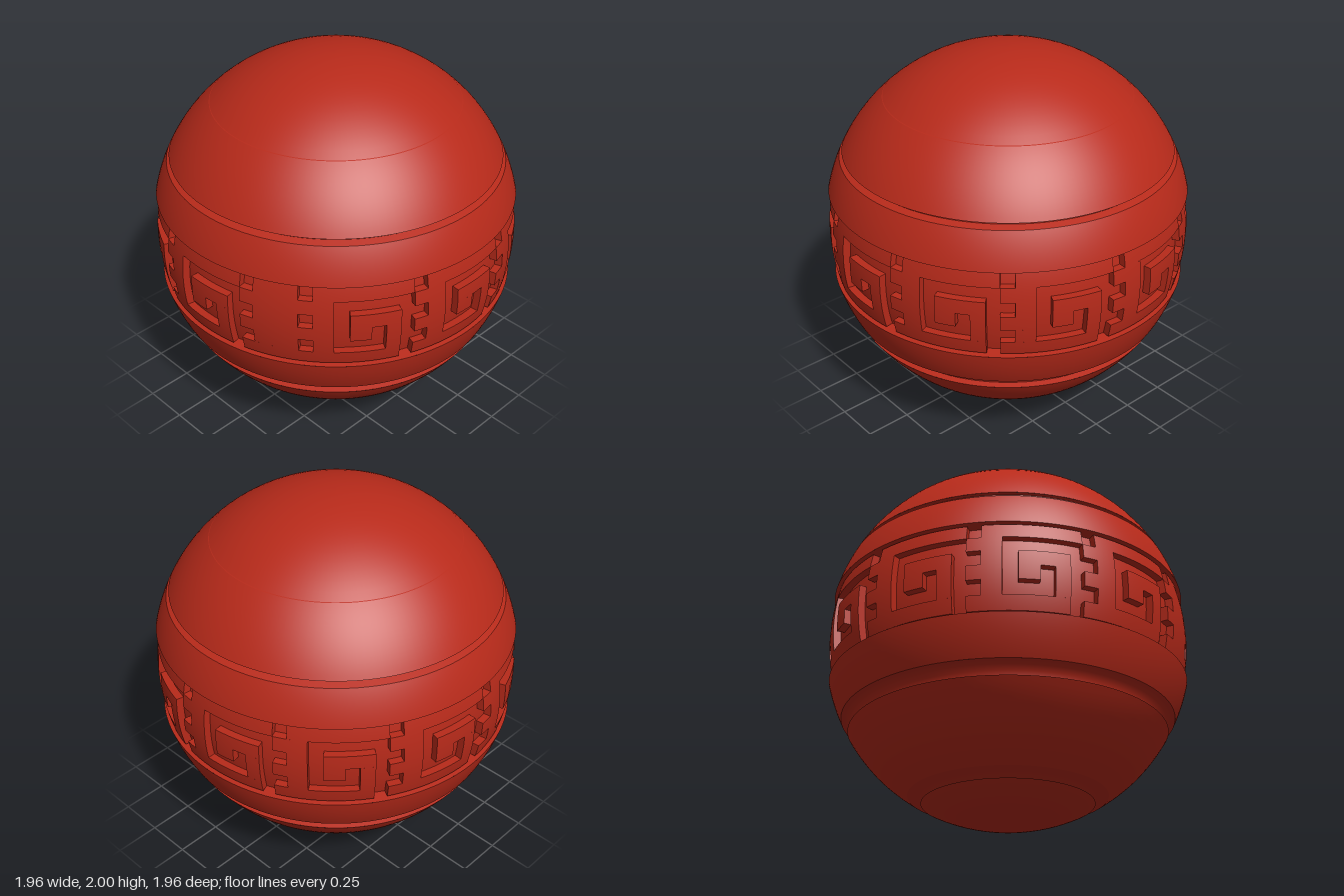
import * as THREE from 'three';
import { mergeGeometries } from 'three/addons/utils/BufferGeometryUtils.js';

const red = new THREE.MeshStandardMaterial({ color: 0xb82a1a });
const SIDES = 128;
const V = (x, y) => new THREE.Vector2(x, y);

// Points on a sphere of radius R centred at y = 1, from height y0 up to y1
function arc(y0, y1, R = 1, n = 14) {
  const a0 = Math.asin(Math.max(-1, (y0 - 1) / R));
  const a1 = Math.asin(Math.min(1, (y1 - 1) / R));
  return Array.from({ length: n + 1 }, (_, i) => {
    const a = a0 + (a1 - a0) * i / n;
    return V(Math.max(0, R * Math.cos(a)), 1 + R * Math.sin(a));
  });
}

// Smooth ring of surface; separate rings meet in sharp edges
const ring = points => new THREE.LatheGeometry(points, SIDES);

// Straight steps between successive [radius, height] pairs
const steps = (...p) => p.slice(1).map((q, i) => ring([V(...p[i]), V(...q)]));

function add(group, name, geometries) {
  const mesh = new THREE.Mesh(mergeGeometries(geometries), red);
  mesh.name = name;
  group.add(mesh);
}

// Block bent round the sphere: a0..a1 in degrees about y, y0..y1 in height
const OUTER = 0.98, INNER = 0.925;
function bentBlock(a0, a1, y0, y1) {
  const g = new THREE.BoxGeometry(1, 1, 1, Math.max(1, Math.ceil((a1 - a0) / 2.2)), 3, 1);
  const p = g.attributes.position;
  const outer = [];
  for (let i = 0; i < p.count; i++) {
    if (g.attributes.normal.getZ(i) > 0.5) outer.push(i);
    const a = THREE.MathUtils.degToRad(a0 + (a1 - a0) * (p.getX(i) + 0.5));
    const y = y0 + (y1 - y0) * (p.getY(i) + 0.5);
    const R = p.getZ(i) > 0 ? OUTER : INNER;
    const r = Math.sqrt(R * R - (y - 1) ** 2);
    p.setXYZ(i, r * Math.sin(a), y, r * Math.cos(a));
  }
  g.computeVertexNormals();
  // Outer faces share one smooth curve
  const n = new THREE.Vector3();
  for (const i of outer) {
    n.fromBufferAttribute(p, i);
    n.y -= 1;
    n.normalize();
    g.attributes.normal.setXYZ(i, n.x, n.y, n.z);
  }
  return g;
}

// Raised relief from a map: '#' is raised, rows run from top to bottom
const TOP = 1.237, ROW = 0.0783;
function relief(map, edges, centre) {
  const blocks = [];
  map.forEach((row, r) => {
    for (const m of row.matchAll(/#+/g)) {
      blocks.push(bentBlock(centre + edges[m.index], centre + edges[m.index + m[0].length],
        TOP - ROW * (r + 1), TOP - ROW * r));
    }
  });
  return blocks;
}

export function createModel() {
  const group = new THREE.Group();

  // Lower half of the ball
  add(group, 'bottomCap', [ring(arc(0, 0.11)), ...steps([0.456, 0.11], [0.41, 0.118])]);
  add(group, 'lowerBowl', [
    ring([V(0.41, 0.118), V(0.44, 0.132), V(0.475, 0.143), V(0.527, 0.15)]),
    ring(arc(0.15, 0.48)),
    ...steps([0.854, 0.48], [0.822, 0.488]),
  ]);
  add(group, 'lowerBand', [
    ring([V(0.822, 0.488), V(0.828, 0.515), V(0.848, 0.538), V(0.87, 0.546), V(0.893, 0.55)]),
    ring(arc(0.55, 0.755)),
    ...steps([0.9695, 0.755], [0.89, 0.767]),
  ]);

  // Sunken belt carrying the key relief
  add(group, 'beltFloor', [
    ...steps([0.89, 0.767], [0.911, 0.767]),
    ring(arc(0.767, 1.237, 0.94)),
    ...steps([0.911, 1.237], [0.89, 1.237]),
  ]);

  // Upper half of the ball
  add(group, 'upperBand', [
    ...steps([0.89, 1.237], [0.9695, 1.245]),
    ring(arc(1.245, 1.437)),
    ...steps([0.8995, 1.437], [0.862, 1.45]),
  ]);
  add(group, 'upperBowl', [
    ...steps([0.862, 1.45], [0.862, 1.465], [0.884, 1.467]),
    ring(arc(1.467, 1.754)),
  ]);
  add(group, 'topCap', [
    ...steps([0.657, 1.754], [0.65, 1.757], [0.6535, 1.757]),
    ring(arc(1.757, 2)),
  ]);

  // Square spiral panels with a comb of teeth on one side
  const keyMap = ['.######', '##.....', '.#.###.', '##.#.#.', '.#...#.', '######.'];
  const keyEdges = [-21.4, -17.1, -11, -6.4, -0.1, 4.2, 8.7, 12.8];
  const STEP = 34.2;
  for (let i = 0; i < 10; i++) {
    add(group, 'keyPanel' + (i + 1), relief(keyMap, keyEdges, STEP * (i - 1)));
  }

  // Plain panel closing the remaining gap in the belt
  const plainMap = ['.#', '##', '.#', '##', '.#', '##'];
  add(group, 'plainPanel', relief(plainMap, [-4.3, 0, 13.7], -69.3));

  return group;
}
